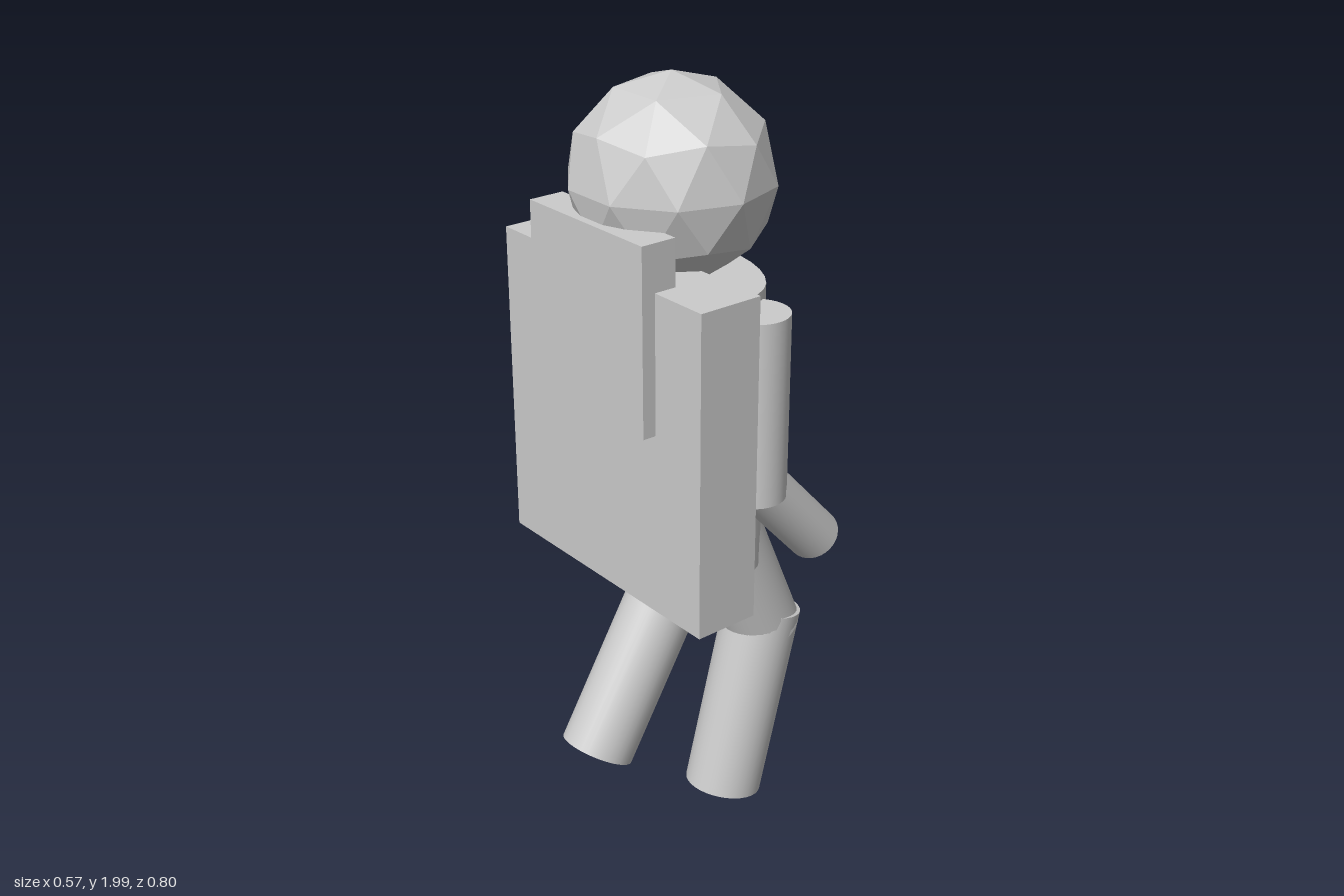
import * as THREE from 'three';

export function createModel() {
  const group = new THREE.Group();
  const smooth = new THREE.MeshStandardMaterial({ color: 0xcccccc });
  const faceted = new THREE.MeshStandardMaterial({ color: 0xcccccc, flatShading: true });

  const add = (name, geometry, x, y, z, material = smooth) => {
    const mesh = new THREE.Mesh(geometry, material);
    mesh.name = name;
    mesh.position.set(x, y, z);
    group.add(mesh);
    return mesh;
  };

  // Cylinder between two [x, y] points at a given z, with an oval section
  const limb = (name, [x0, y0], [x1, y1], z, rx, rz) => {
    const dx = x0 - x1, dy = y0 - y1;
    const geometry = new THREE.CylinderGeometry(1, 1, Math.hypot(dx, dy), 32);
    geometry.scale(rx, 1, rz);
    const mesh = add(name, geometry, (x0 + x1) / 2, (y0 + y1) / 2, z);
    mesh.rotation.z = Math.atan2(-dx, dy);
  };

  // Head: icosphere turned so one corner points straight up
  const head = new THREE.IcosahedronGeometry(0.26, 1);
  head.rotateZ(-Math.atan(2 / (1 + Math.sqrt(5))));
  add('head', head, -0.025, 1.74, 0.007, faceted);

  // Oval torso
  limb('torso', [-0.022, 1.515], [-0.022, 0.76], -0.005, 0.182, 0.29);

  // Backpack and the smaller plate behind it
  add('backpack', new THREE.BoxGeometry(0.175, 0.845, 0.763), -0.1625, 1.1425, 0.006, faceted);
  add('backpackPlate', new THREE.BoxGeometry(0.097, 0.48, 0.434), -0.2385, 1.445, 0.006, faceted);

  // Arms, bent forward at the elbow
  limb('rightUpperArm', [-0.023, 1.492], [-0.023, 1.015], 0.317, 0.083, 0.083);
  limb('rightForearm', [-0.03, 1.066], [0.193, 0.824], 0.311, 0.068, 0.075);
  limb('leftUpperArm', [-0.013, 1.492], [-0.013, 1.015], -0.317, 0.083, 0.083);
  limb('leftForearm', [0.01, 1.066], [0.234, 0.824], -0.319, 0.068, 0.075);

  // Legs in a walking pose
  limb('rightThigh', [-0.005, 0.9], [0.17, 0.49], 0.153, 0.102, 0.1);
  limb('rightShin', [0.167, 0.554], [0.034, 0.033], 0.155, 0.106, 0.1);
  limb('leftThigh', [0.005, 0.92], [0.078, 0.487], -0.15, 0.104, 0.1);
  limb('leftShin', [0.098, 0.521], [-0.172, 0.065], -0.148, 0.107, 0.1);

  return group;
}
